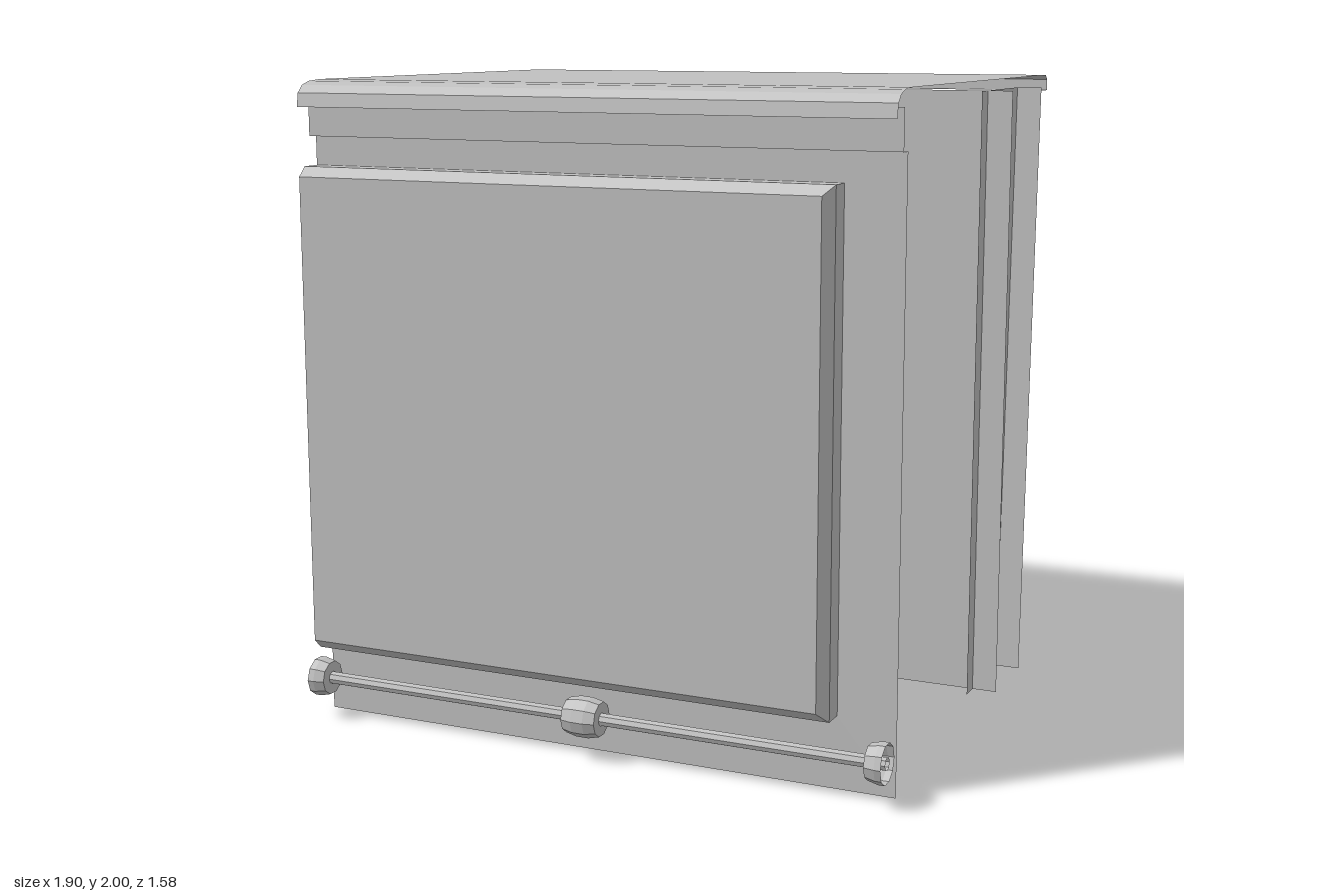
import * as THREE from 'three';

export function createModel() {
  const model = new THREE.Group();
  const metal = new THREE.MeshStandardMaterial({ color: 0xc0c0c0, side: THREE.DoubleSide });
  metal.name = 'grey metal';
  const HALF = 0.95;

  const add = (name, geometry) => {
    const mesh = new THREE.Mesh(geometry, metal);
    mesh.name = name;
    model.add(mesh);
    return mesh;
  };

  // Flat-shaded sheet made of four-cornered faces
  const quads = (faces) => {
    const p = [];
    for (const [a, b, c, d] of faces) p.push(...a, ...b, ...c, ...a, ...c, ...d);
    const g = new THREE.BufferGeometry();
    g.setAttribute('position', new THREE.Float32BufferAttribute(p, 3));
    g.computeVertexNormals();
    return g;
  };

  // Folded sheet: a [z, y] profile swept along x
  const folded = (profile, x0, x1) => quads(profile.slice(1).map(([z, y], i) => {
    const [pz, py] = profile[i];
    return [[x0, py, pz], [x1, py, pz], [x1, y, z], [x0, y, z]];
  }));

  // Roof with rounded front edge and a small turned-in lip at the back
  add('roof', folded([
    [-0.75, 1.95], [-0.79, 1.95], [-0.79, 1.985], [-0.77, 2], [0.62, 2], [0.68, 1.996],
    [0.715, 1.985], [0.738, 1.962], [0.745, 1.92], [0.725, 1.92],
  ], -HALF, HALF));

  // Front sheet, cut out behind the raised panel
  const outline = [[-HALF, 0], [HALF, 0], [HALF, 1.83], [-HALF, 1.83],
    [-HALF, 1.74], [0.77, 1.74], [0.77, 0.22], [-HALF, 0.22]];
  const frontShape = new THREE.Shape(outline.map(([x, y]) => new THREE.Vector2(x, y)));
  add('frontSheet', new THREE.ShapeGeometry(frontShape)).position.z = 0.65;

  // Stepped trim between front sheet and roof
  add('frontTrim', folded([[0.65, 1.83], [0.685, 1.83], [0.685, 1.95]], -HALF, HALF));

  // Raised, chamfered panel, open at the right-hand cut
  const loop = (x, y0, y1, z) => [[-HALF, y0, z], [x, y0, z], [x, y1, z], [-HALF, y1, z]];
  const rings = [loop(0.77, 0.22, 1.74, 0.65), loop(0.77, 0.22, 1.74, 0.715), loop(0.74, 0.25, 1.71, 0.745)];
  const panelFaces = [rings[2]];
  for (let r = 0; r < 2; r++) {
    for (let i = 0; i < 3; i++) {
      panelFaces.push([rings[r][i], rings[r][i + 1], rings[r + 1][i + 1], rings[r + 1][i]]);
    }
  }
  add('raisedPanel', quads(panelFaces));

  // Inner wall
  add('backWall', folded([[-0.375, 0], [-0.375, 1.96]], -HALF, HALF));

  // Shelves with a turned-down lip
  for (const y of [0.38, 0.91, 1.43]) {
    add('shelf', folded([[-0.375, y], [-0.585, y], [-0.585, y - 0.1]], -HALF, 0.87));
  }

  // Tapered upright and its rear flange
  const T = 1.96;
  add('upright', quads([
    [[0.87, 0, -0.31], [0.87, 0, -0.65], [0.87, T, -0.72], [0.87, T, -0.31]],
    [[0.87, 0, -0.65], [HALF, 0, -0.65], [HALF, T, -0.72], [0.87, T, -0.72]],
  ]));

  // Turned parts of the rail: [radius, x] profiles around the x axis
  const turned = (name, profile, sides = 10) => {
    const g = new THREE.LatheGeometry(profile.map(([r, x]) => new THREE.Vector2(r, x)), sides).toNonIndexed();
    g.computeVertexNormals();
    g.rotateZ(-Math.PI / 2);
    add(name, g).position.set(0, 0.13, 0.73);
  };
  turned('rail', [[0.02, -HALF], [0.02, HALF]], 8);
  turned('centreCollar', [[0.02, -0.055], [0.053, -0.055], [0.061, -0.02], [0.061, 0.02], [0.053, 0.055], [0.02, 0.055]]);
  for (const s of [-1, 1]) {
    turned('endCollar', [[0.02, s * 0.897], [0.053, s * 0.897], [0.061, s * 0.93], [0.061, s * HALF]]);
  }

  // Pin holding the rail to the front sheet
  const pin = new THREE.CylinderGeometry(0.016, 0.016, 0.095, 8);
  pin.rotateX(Math.PI / 2);
  add('railPin', pin).position.set(0, 0.13, 0.6825);

  return model;
}
